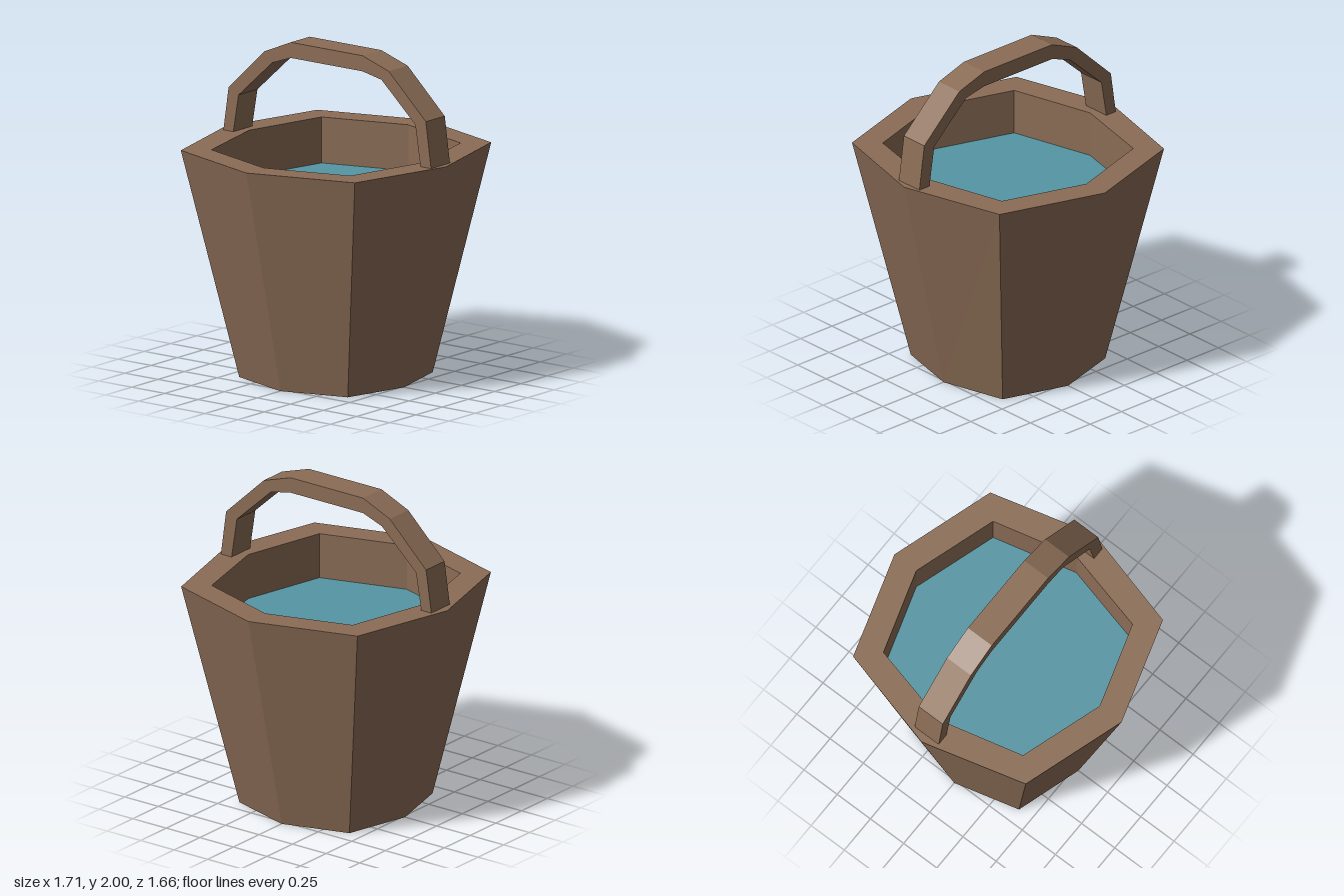
import * as THREE from 'three';

// Eight-cornered loop: half-widths along x, at the corners, and along z
function loop(x, cx, cz, z, y) {
  return [[x, 0], [cx, cz], [0, z], [-cx, cz], [-x, 0], [-cx, -cz], [0, -z], [cx, -cz]]
    .map(([px, pz]) => new THREE.Vector3(px, y, pz));
}

// Flat-shaded band of quads joining two loops
function band(a, b) {
  const points = [];
  a.forEach((p, i) => {
    const j = (i + 1) % a.length;
    points.push(p, b[i], a[j], b[i], b[j], a[j]);
  });
  const geometry = new THREE.BufferGeometry().setFromPoints(points);
  geometry.computeVertexNormals();
  return geometry;
}

export function createModel() {
  const bucket = new THREE.Group();
  bucket.name = 'bucket';

  const wood = new THREE.MeshStandardMaterial({ color: 0x8a6c55, side: THREE.DoubleSide });
  wood.name = 'brown wood';
  const blue = new THREE.MeshStandardMaterial({ color: 0x5495a3, side: THREE.DoubleSide });
  blue.name = 'blue water';

  const add = (name, geometry, material) => {
    const mesh = new THREE.Mesh(geometry, material);
    mesh.name = name;
    bucket.add(mesh);
  };

  const rimY = 1.39, waterY = 1.11;
  const foot = loop(0.53, 0.405, 0.41, 0.515, 0);
  const outer = loop(0.855, 0.65, 0.657, 0.83, rimY);
  const inner = loop(0.69, 0.525, 0.525, 0.655, rimY);
  const innerLow = loop(0.69, 0.525, 0.525, 0.655, waterY);

  // Tapered shell, open underneath, with a flat rim and straight inner wall
  add('outerWall', band(foot, outer), wood);
  add('rim', band(outer, inner), wood);
  add('innerWall', band(inner, innerLow), wood);

  // Water surface
  const surface = new THREE.ShapeGeometry(
    new THREE.Shape(innerLow.map((p) => new THREE.Vector2(p.x, p.z))));
  surface.rotateX(-Math.PI / 2).translate(0, waterY, 0);
  add('water', surface, blue);

  // Handle arch, as (z, y) points: over the outside, back along the inside
  const arch = [
    [0.79, 1.385], [0.75, 1.67], [0.47, 1.935], [0.27, 2],
    [-0.27, 2], [-0.47, 1.915], [-0.74, 1.655], [-0.78, 1.385],
    [-0.705, 1.385], [-0.665, 1.62], [-0.41, 1.855], [-0.27, 1.905],
    [0.27, 1.905], [0.415, 1.875], [0.67, 1.64], [0.71, 1.385],
  ].map(([z, y]) => new THREE.Vector2(z, y));
  const handle = new THREE.ExtrudeGeometry(new THREE.Shape(arch), { depth: 0.18, bevelEnabled: false });
  handle.rotateY(-Math.PI / 2).translate(0.09, 0, 0);
  add('handle', handle, wood);

  return bucket;
}
